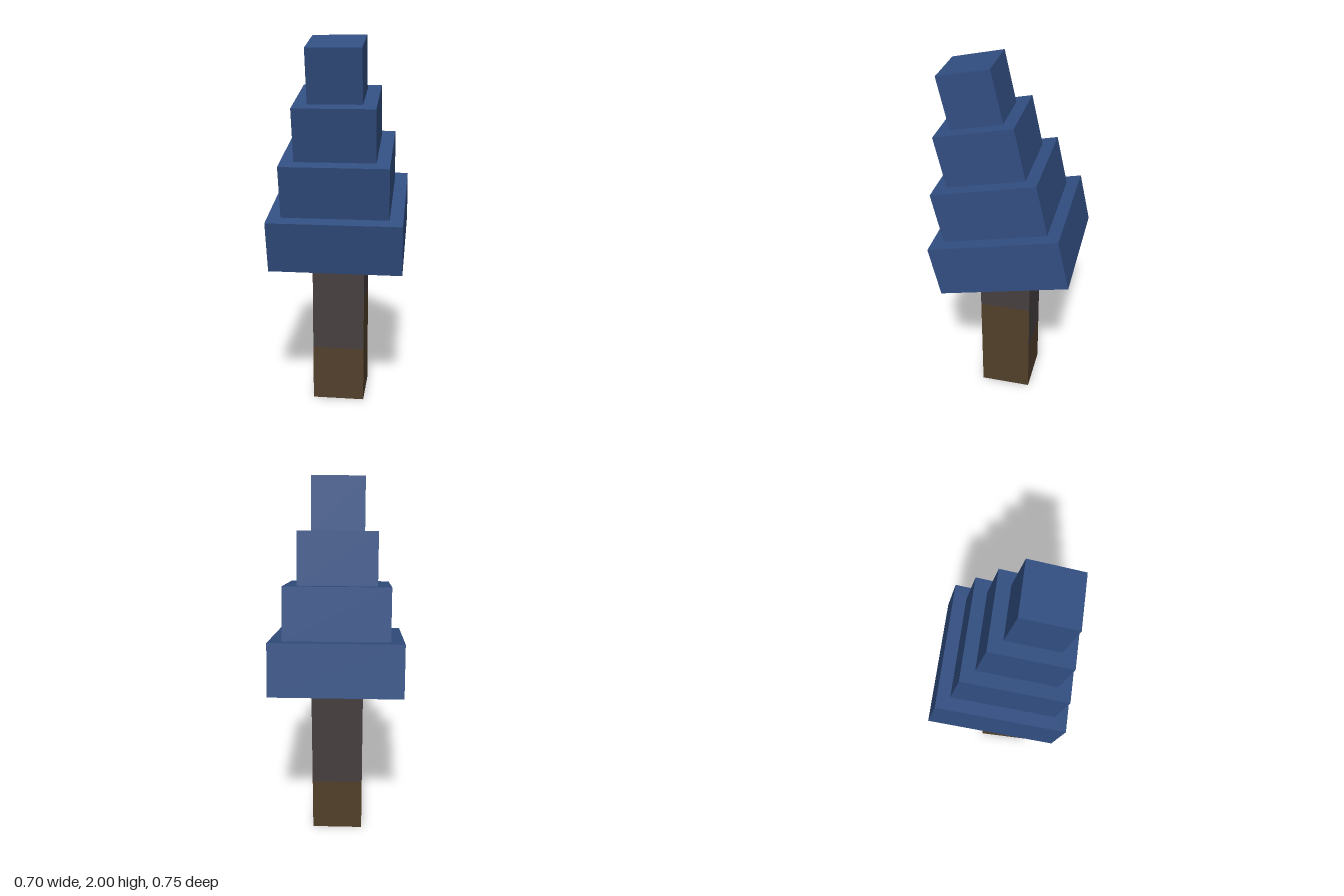
import * as THREE from 'three';

const UNIT = 0.141; // half the trunk width, also the step between tiers
const mat = (name, color) => {
  const m = new THREE.MeshStandardMaterial({ color });
  m.name = name;
  return m;
};

export function createModel() {
  const blue = mat('blue foliage', 0x324f82);
  const underside = mat('grey underside', 0x757575);
  const bark = mat('grey bark', 0x473f40);
  const brown = mat('brown bark', 0x52402b);

  const model = new THREE.Group();
  model.name = 'tree';

  // Trunk: four sides, each brown below and grey above; the brown reaches higher on one side
  const trunk = new THREE.Group();
  trunk.name = 'trunk';
  trunk.position.z = 0.0125;
  const trunkTop = 0.95;
  const addPanel = (name, material, y0, y1, angle) => {
    const g = new THREE.PlaneGeometry(2 * UNIT, y1 - y0);
    g.translate(0, (y0 + y1) / 2, UNIT).rotateY(angle);
    const mesh = new THREE.Mesh(g, material);
    mesh.name = name;
    trunk.add(mesh);
  };
  // front, +x side, back, -x side
  [0.305, 0.585, 0.305, 0.305].forEach((split, i) => {
    addPanel('lowerBark', brown, 0, split, i * Math.PI / 2);
    addPanel('upperBark', bark, split, trunkTop, i * Math.PI / 2);
  });
  for (const [name, y, turn] of [['trunkBottom', 0, 1], ['trunkTop', trunkTop, -1]]) {
    const end = new THREE.Mesh(new THREE.PlaneGeometry(2 * UNIT, 2 * UNIT), bark);
    end.name = name;
    end.rotation.x = turn * Math.PI / 2;
    end.position.y = y;
    trunk.add(end);
  }
  model.add(trunk);

  // Foliage: four shrinking square tiers leaning forward
  const foliage = new THREE.Group();
  foliage.name = 'foliage';
  foliage.position.y = 1.007;
  foliage.rotation.x = THREE.MathUtils.degToRad(12.5);
  for (let i = 0; i < 4; i++) {
    const w = (5 - i) * UNIT;
    const tier = new THREE.Mesh(
      new THREE.BoxGeometry(w, 2 * UNIT, w),
      [blue, blue, blue, underside, blue, blue]
    );
    tier.name = 'foliageTier' + (i + 1);
    tier.position.y = i * 2 * UNIT;
    foliage.add(tier);
  }
  model.add(foliage);

  return model;
}
